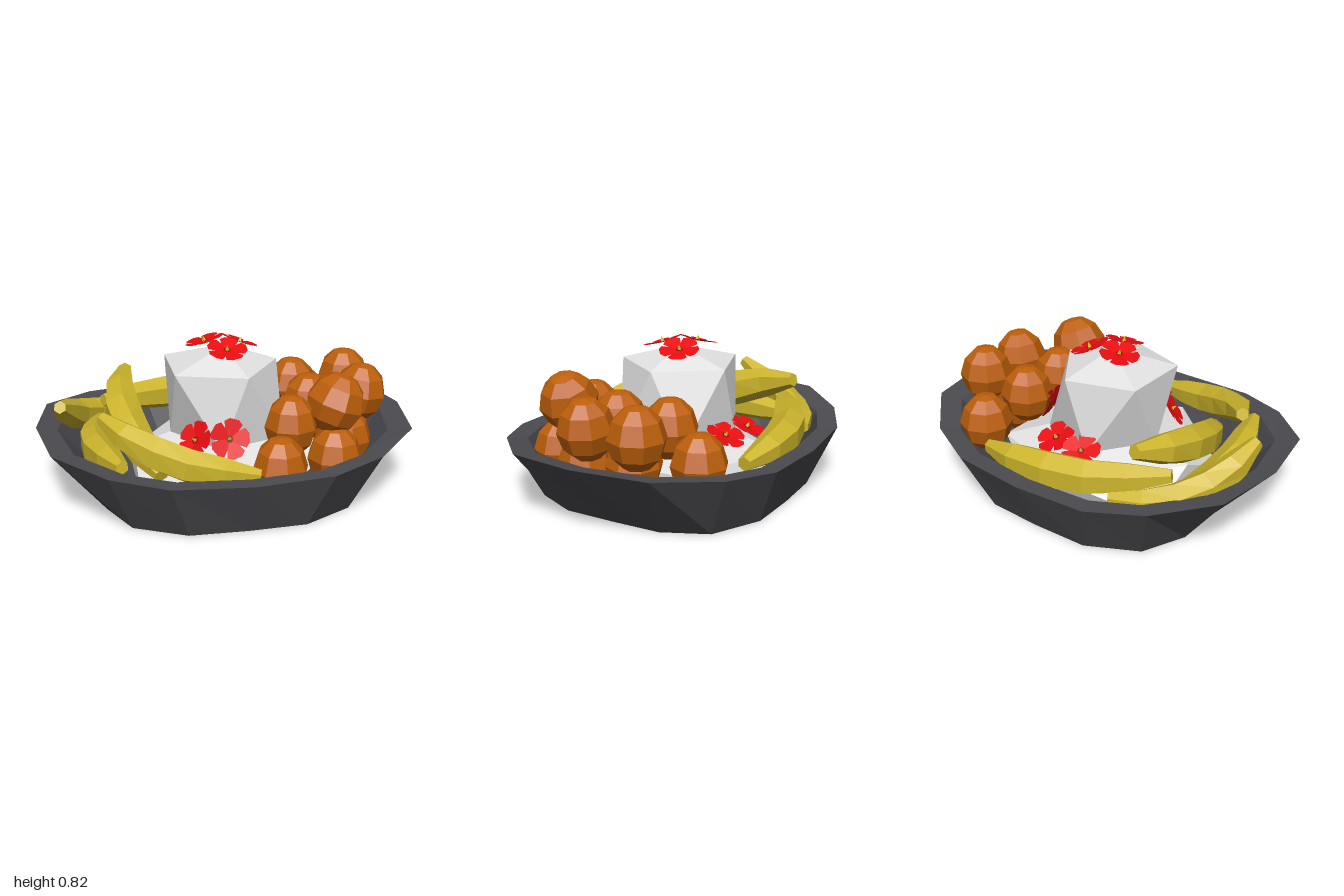
import * as THREE from 'three';
import { ConvexGeometry } from 'three/addons/geometries/ConvexGeometry.js';

const paint = (name, color, side = THREE.FrontSide) => {
  const m = new THREE.MeshStandardMaterial({ color, side });
  m.name = name;
  return m;
};

// Split the faces so that every facet is flat
function faceted(geo) {
  const g = geo.index ? geo.toNonIndexed() : geo;
  g.computeVertexNormals();
  return g;
}

function add(parent, name, geo, mat) {
  const mesh = new THREE.Mesh(geo, mat);
  mesh.name = name;
  parent.add(mesh);
  return mesh;
}

// Mirror a quarter outline [x, z] into a closed 16-point ring
function ring(quarter, height) {
  const back = quarter.slice(0, -1).reverse();
  const half = [...quarter, ...back.map(([x, z]) => [-x, z])];
  const rest = half.slice(1, -1).reverse().map(([x, z]) => [x, -z]);
  return [...half, ...rest].map(([x, z]) => [x, height(x), z]);
}

function bowlGeometry() {
  const rimY = (x) => 0.3 + 0.075 * x * x;
  const base = [[0.67, 0], [0.665, 0.27], [0.56, 0.5], [0.3, 0.635], [0, 0.645]];
  const outer = [[1, 0], [0.935, 0.38], [0.68, 0.635], [0.4, 0.76], [0, 0.78]];
  const inner = [[0.89, 0], [0.82, 0.33], [0.6, 0.56], [0.36, 0.66], [0, 0.68]];
  const floor = base.map(([x, z]) => [x * 0.92, z * 0.9]);
  const point = (y) => Array(16).fill([0, y, 0]);
  const rows = [point(0), ring(base, () => 0), ring(outer, rimY),
    ring(inner, (x) => rimY(x) - 0.005), ring(floor, () => 0.05), point(0.05)];
  const index = [];
  for (let i = 0; i < rows.length - 1; i++) {
    for (let j = 0; j < 16; j++) {
      const a = i * 16 + j, b = i * 16 + (j + 1) % 16;
      if (i > 0) index.push(a, b + 16, b);
      if (i < rows.length - 2) index.push(a, a + 16, b + 16);
    }
  }
  const g = new THREE.BufferGeometry();
  g.setAttribute('position', new THREE.Float32BufferAttribute(rows.flat(2), 3));
  g.setIndex(index);
  return faceted(g);
}

// Twenty-sided ice block: two opposed pentagons and two tips
function iceGeometry(size, flip, bottom, low, high, top) {
  const pts = [new THREE.Vector3(0, bottom, 0), new THREE.Vector3(0, top, 0)];
  for (let i = 0; i < 5; i++) {
    const a = (i * Math.PI * 2) / 5;
    const x = (Math.cos(a) * 0.32 - 0.03) * size * flip, z = Math.sin(a) * 0.325 * size;
    pts.push(new THREE.Vector3(x, high, z), new THREE.Vector3(-x, low, z));
  }
  return new ConvexGeometry(pts);
}

// Tapered six-sided rod bent along a curve
function bananaGeometry(points, radius) {
  const curve = new THREE.CatmullRomCurve3(points.map((p) => new THREE.Vector3(...p)));
  const g = new THREE.CylinderGeometry(1, 1, 1, 6, 5);
  const pos = g.attributes.position;
  const up = new THREE.Vector3(0, 1, 0);
  for (let i = 0; i < pos.count; i++) {
    const t = THREE.MathUtils.clamp(pos.getY(i) + 0.5, 0, 1);
    const tangent = curve.getTangentAt(t);
    const side = tangent.clone().cross(up).normalize();
    const normal = side.clone().cross(tangent);
    const r = radius * (0.38 + 0.62 * Math.pow(Math.sin(Math.PI * t), 0.7));
    const p = curve.getPointAt(t)
      .addScaledVector(side, pos.getX(i) * r)
      .addScaledVector(normal, pos.getZ(i) * r);
    pos.setXYZ(i, p.x, p.y, p.z);
  }
  return faceted(g);
}

export function createModel() {
  const model = new THREE.Group();
  model.name = 'fruitBowl';
  const slate = paint('slate', 0x4c4b50);
  const ice = paint('ice white', 0xe2e2e2);
  const orange = paint('orange peel', 0xbd5f0a);
  const yellow = paint('banana yellow', 0xcdb52c);
  const red = paint('petal red', 0xec0c10, THREE.DoubleSide);
  const darkRed = paint('dark red', 0x8a0808, THREE.DoubleSide);
  const pollen = paint('pollen yellow', 0xd8b020);

  add(model, 'bowl', bowlGeometry(), slate);
  add(model, 'lowerIce', iceGeometry(1.7, -1, 0.051, 0.07, 0.23, 0.4), ice);
  add(model, 'upperIce', iceGeometry(1, 1, 0.16, 0.29, 0.675, 0.765), ice);

  // Eight-sided oranges, slightly taller than wide: x, y, z, lean, width
  const peel = faceted(new THREE.LatheGeometry(
    [[0, -1], [0.45, -0.9], [0.83, -0.55], [1, 0], [0.8, 0.58], [0.42, 0.92], [0, 1]]
      .map(([r, y]) => new THREE.Vector2(r, y)), 8));
  [
    [0.54, 0.335, -0.42, 0, 0.145], [0.435, 0.45, -0.2, 0, 0.145], [0.74, 0.485, -0.2, 0, 0.147],
    [0.45, 0.45, 0.09, 0, 0.147], [0.74, 0.485, 0.085, 0.12, 0.147], [0.28, 0.43, 0.36, 0, 0.14],
    [0.515, 0.53, 0.35, 0.35, 0.157], [0.18, 0.28, 0.54, 0, 0.143], [0.5, 0.265, 0.42, 0, 0.145],
    [0.61, 0.3, -0.1, 0, 0.145], [0.64, 0.26, 0.17, 0, 0.145],
  ].forEach(([x, y, z, lean, width], i) => {
    const o = add(model, 'orange' + (i + 1), peel, orange);
    o.position.set(x, y, z);
    o.scale.set(width, 0.158, width);
    o.rotation.z = -lean;
  });

  // Bananas around the left and back of the bowl, with their thickness
  [
    [0.098, [[0.37, 0.31, -0.575], [0.1, 0.33, -0.605], [-0.25, 0.335, -0.54], [-0.62, 0.38, -0.34]]],
    [0.09, [[-0.87, 0.49, 0.03], [-0.79, 0.35, -0.23], [-0.63, 0.28, -0.43], [-0.4, 0.28, -0.56]]],
    [0.102, [[-0.48, 0.52, -0.46], [-0.54, 0.45, -0.2], [-0.51, 0.35, 0.1], [-0.4, 0.24, 0.43]]],
    [0.092, [[-0.67, 0.49, 0.23], [-0.53, 0.42, 0.4], [-0.28, 0.33, 0.54], [0.06, 0.28, 0.62]]],
    [0.088, [[-0.63, 0.27, -0.4], [-0.69, 0.27, -0.1], [-0.69, 0.29, 0.15], [-0.6, 0.33, 0.5]]],
  ].forEach(([r, pts], i) => add(model, 'banana' + (i + 1), bananaGeometry(pts, r), yellow));

  // Five-petalled flowers: position, then facing direction
  const petal = new THREE.ShapeGeometry(new THREE.Shape(
    [[0, 0], [0.045, -0.034], [0.085, -0.05], [0.105, -0.025], [0.105, 0.025], [0.085, 0.05],
      [0.045, 0.034]].map(([x, y]) => new THREE.Vector2(x, y))));
  const disc = new THREE.CircleGeometry(0.02, 6);
  const stamen = faceted(new THREE.ConeGeometry(0.013, 0.03, 5).rotateX(Math.PI / 2));
  const forward = new THREE.Vector3(0, 0, 1);
  [
    [-0.09, 0.775, -0.06, -0.25, 0.95, -0.1], [0.1, 0.76, -0.06, 0.35, 0.93, -0.1],
    [0, 0.765, 0.1, 0, 0.95, 0.3], [-0.08, 0.34, -0.37, -0.1, 0.9, -0.42],
    [0.11, 0.34, -0.34, 0.1, 0.9, -0.42], [-0.04, 0.375, 0.355, 0.1, 0.35, 0.93],
    [-0.2, 0.35, 0.28, -0.7, 0.55, 0.45], [0.33, 0.39, -0.12, 0.93, 0.35, -0.1],
    [0.33, 0.39, 0.03, 0.93, 0.35, 0.1],
  ].forEach(([x, y, z, nx, ny, nz], i) => {
    const flower = new THREE.Group();
    flower.name = 'flower' + (i + 1);
    for (let k = 0; k < 5; k++) {
      const p = add(flower, 'petal', petal, red);
      p.rotation.set(0, -0.12, (k * Math.PI * 2) / 5, 'ZYX');
    }
    add(flower, 'flowerCentre', disc, darkRed).position.z = 0.006;
    add(flower, 'stamen', stamen, pollen).position.z = 0.018;
    flower.position.set(x, y, z);
    flower.quaternion.setFromUnitVectors(forward, new THREE.Vector3(nx, ny, nz).normalize());
    model.add(flower);
  });
  return model;
}
